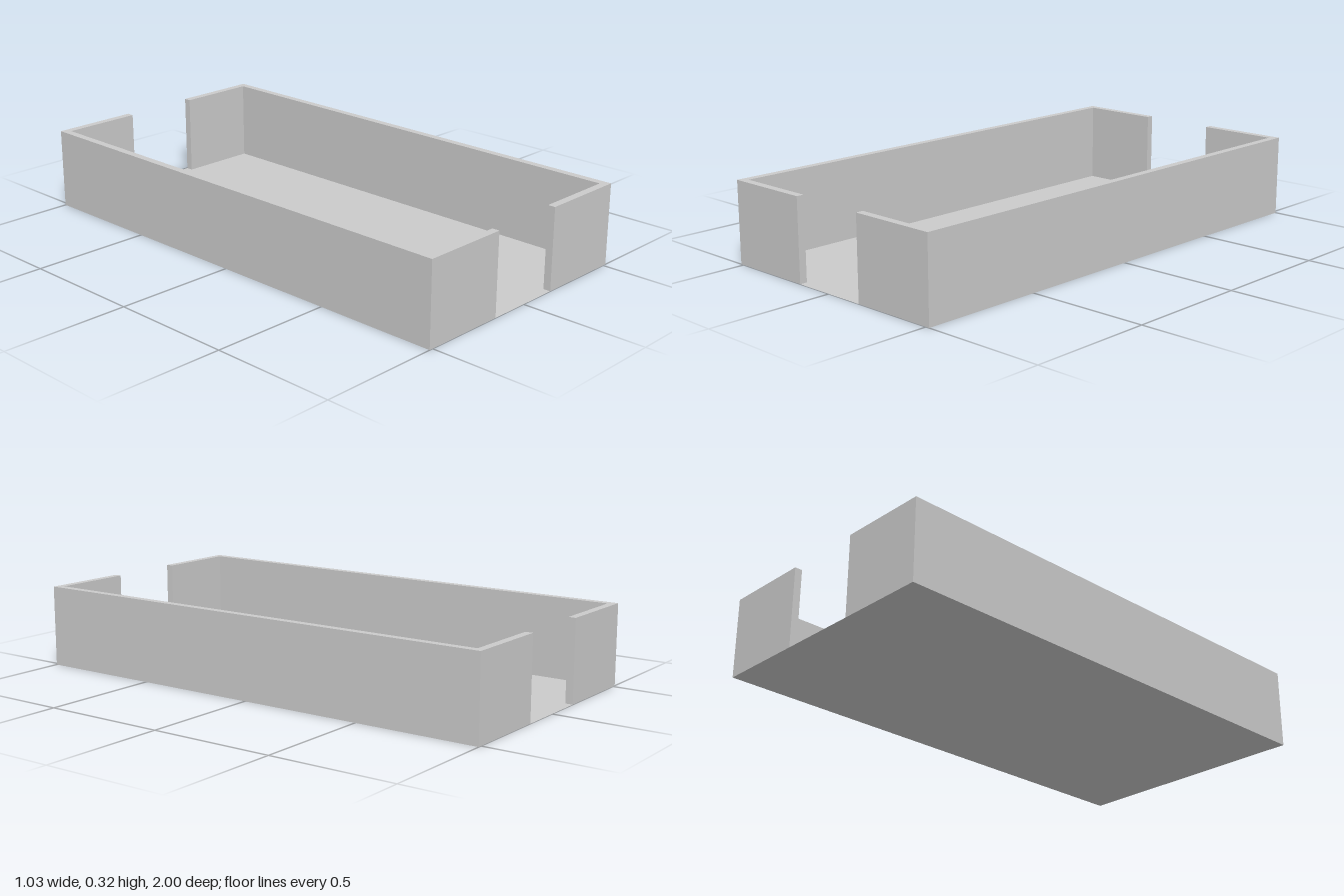
import * as THREE from 'three';

const W = 0.515, L = 1, H = 0.325, T = 0.03, GAP = 0.161;

const shapeFrom = (pts) => new THREE.Shape(pts.map(([x, y]) => new THREE.Vector2(x, y)));

export function createModel() {
  const model = new THREE.Group();
  model.name = 'openTray';
  const material = new THREE.MeshStandardMaterial({ color: 0xcccccc, flatShading: true });
  const sheetMaterial = material.clone();
  sheetMaterial.side = THREE.DoubleSide;

  // Side wall with its two end returns, as one C-shaped extrusion
  const wallShape = shapeFrom([
    [GAP, -L], [W, -L], [W, L], [GAP, L],
    [GAP, L - T], [W - T, L - T], [W - T, -L + T], [GAP, -L + T],
  ]);
  const wallGeometry = new THREE.ExtrudeGeometry(wallShape, { depth: H, bevelEnabled: false });
  wallGeometry.rotateX(-Math.PI / 2);
  ['leftWall', 'rightWall'].forEach((name, i) => {
    const wall = new THREE.Mesh(wallGeometry, material);
    wall.name = name;
    wall.rotation.y = i * Math.PI;
    model.add(wall);
  });

  // Thin floor sheet inside the walls, reaching out through both end openings
  const x = W - T, z = L - T;
  const floorShape = shapeFrom([
    [-x, -z], [-GAP, -z], [-GAP, -L], [GAP, -L], [GAP, -z], [x, -z],
    [x, z], [GAP, z], [GAP, L], [-GAP, L], [-GAP, z], [-x, z],
  ]);
  const floorGeometry = new THREE.ShapeGeometry(floorShape);
  floorGeometry.rotateX(-Math.PI / 2);
  const floor = new THREE.Mesh(floorGeometry, sheetMaterial);
  floor.name = 'floor';
  model.add(floor);

  return model;
}
